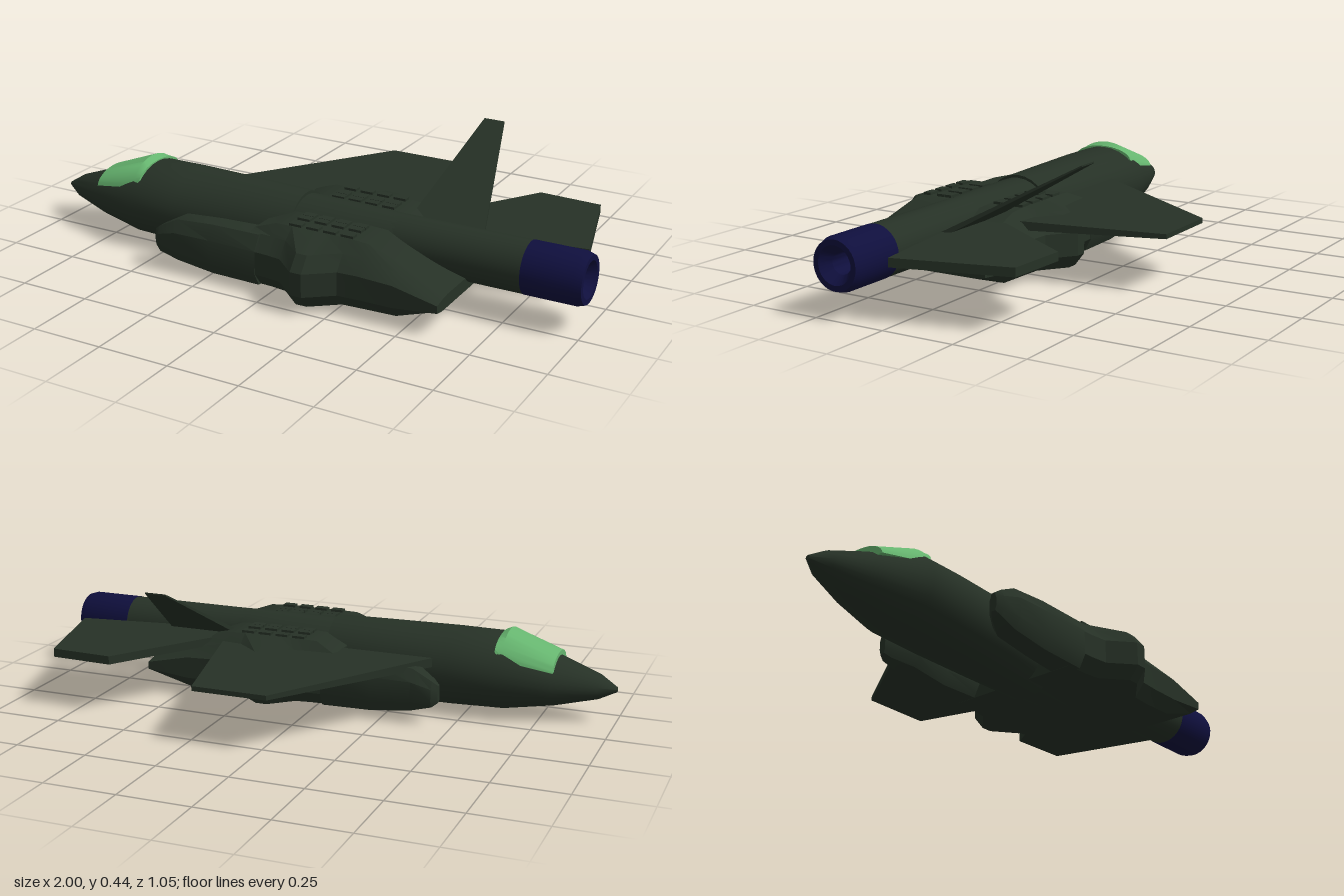
import * as THREE from 'three';
import { toCreasedNormals } from 'three/addons/utils/BufferGeometryUtils.js';

const AXIS = 0.173; // z of the fuselage centre line

// Skin a row of closed cross-sections running along +x, with both ends capped.
function loft(rings, crease = 0.6) {
  const n = rings[0].length, pos = [], idx = [];
  rings.forEach(r => r.forEach(p => pos.push(...p)));
  for (let i = 0; i < rings.length - 1; i++) {
    for (let j = 0; j < n; j++) {
      const a = i * n + j, b = i * n + (j + 1) % n;
      idx.push(a, b, b + n, a, b + n, a + n);
    }
  }
  [0, rings.length - 1].forEach((i, end) => {
    const c = pos.length / 3;
    const mid = [0, 1, 2].map(k => rings[i].reduce((s, p) => s + p[k], 0) / n);
    pos.push(...mid);
    for (let j = 0; j < n; j++) {
      const a = i * n + j, b = i * n + (j + 1) % n;
      if (end) idx.push(c, a, b); else idx.push(c, b, a);
    }
  });
  const g = new THREE.BufferGeometry();
  g.setAttribute('position', new THREE.Float32BufferAttribute(pos, 3));
  g.setIndex(idx);
  return toCreasedNormals(g, crease);
}

// Elliptical section
function oval([x, bottom, top, half], n = 28) {
  return Array.from({ length: n }, (_, j) => {
    const t = j / n * Math.PI * 2;
    return [x, (bottom + top) / 2 + (top - bottom) / 2 * Math.cos(t), AXIS + half * Math.sin(t)];
  });
}

// Symmetric section from [z offset, y] pairs listed from the top down
function mirrored(x, half, centre = AXIS) {
  return [
    ...half.map(([z, y]) => [x, y, centre + z]),
    ...half.slice().reverse().map(([z, y]) => [x, y, centre - z]),
  ];
}

// Flat surface with an [x, z] outline; height and thickness follow z
function panel(outline, height, thick) {
  const shape = new THREE.Shape(outline.map(p => new THREE.Vector2(...p)));
  const g = new THREE.ExtrudeGeometry(shape, { depth: 1, bevelEnabled: false });
  g.translate(0, 0, -0.5).rotateX(Math.PI / 2);
  const p = g.attributes.position;
  for (let i = 0; i < p.count; i++) {
    const z = p.getZ(i);
    p.setY(i, height(z) + Math.sign(p.getY(i)) * thick(z) / 2);
  }
  g.computeVertexNormals();
  return g;
}

export function createModel() {
  const model = new THREE.Group();
  const material = (name, color) => {
    const m = new THREE.MeshStandardMaterial({ color });
    m.name = name;
    return m;
  };
  const green = material('darkGreen', 0x263126);
  const glass = material('canopyGreen', 0x66b56f);
  const blue = material('navyBlue', 0x0f0f3d);
  const add = (name, geometry, mat = green) => {
    const mesh = new THREE.Mesh(geometry, mat);
    mesh.name = name;
    model.add(mesh);
    return mesh;
  };

  // Nose and forward fuselage
  add('forwardFuselage', loft([
    [-1, 0.112, 0.128, 0.008], [-0.94, 0.082, 0.165, 0.05], [-0.8, 0.046, 0.215, 0.105],
    [-0.63, 0.017, 0.278, 0.158], [-0.45, 0.01, 0.28, 0.155], [-0.2, 0.005, 0.277, 0.142],
    [0, 0.003, 0.274, 0.13],
  ].map(s => oval(s))));

  // Centre fuselage fading into the engine tube
  add('centreFuselage', loft([
    [-0.02, 0.012, 0.264, 0.128], [0.2, 0.02, 0.264, 0.12], [0.36, 0.06, 0.262, 0.092],
  ].map(s => oval(s))));

  // Canopy shell
  const canopyRing = (x, base, top, half) => mirrored(x, Array.from({ length: 9 }, (_, i) => {
    const t = (i + 0.5) / 9 * Math.PI / 2;
    return [half * Math.sin(t), base + (top - base) * Math.cos(t)];
  }));
  add('canopy', loft([
    canopyRing(-0.8, 0.178, 0.23, 0.104),
    canopyRing(-0.63, 0.205, 0.295, 0.124),
    canopyRing(-0.605, 0.235, 0.282, 0.118),
  ]), glass);

  // Wide centre body with a bulge on each flank: [x, half width, bottom, low, high, shoulder, top]
  add('centreBody', loft([
    [-0.08, 0.27, 0.025, 0.07, 0.15, 0.2, 0.205],
    [0.0, 0.274, 0.025, 0.07, 0.15, 0.2, 0.234],
    [0.06, 0.282, 0.025, 0.07, 0.15, 0.2, 0.235],
    [0.14, 0.352, 0.025, 0.07, 0.15, 0.2, 0.235],
    [0.18, 0.352, 0.025, 0.07, 0.15, 0.2, 0.235],
    [0.27, 0.282, 0.025, 0.07, 0.15, 0.2, 0.235],
    [0.34, 0.278, 0.025, 0.07, 0.15, 0.198, 0.23],
    [0.46, 0.278, 0.028, 0.07, 0.145, 0.172, 0.185],
    [0.615, 0.275, 0.078, 0.085, 0.11, 0.118, 0.122],
  ].map(([x, w, bottom, low, high, shoulder, top]) => mirrored(x, [
    [0.2, top], [w - 0.04, shoulder], [w, high], [w, low], [w - 0.035, bottom],
  ])), 0.5));

  // Intake nacelles either side of the fuselage: [x, centre offset, half width, bottom, top]
  for (const side of [1, -1]) {
    add(side > 0 ? 'nearIntake' : 'farIntake', loft([
      [-0.45, 0.235, 0.012, 0.08, 0.14], [-0.43, 0.232, 0.03, 0.065, 0.155],
      [-0.36, 0.212, 0.056, 0.045, 0.19], [-0.22, 0.212, 0.058, 0.028, 0.2],
      [-0.04, 0.205, 0.068, 0.025, 0.2],
    ].map(([x, off, w, b, t]) => mirrored(x, [
      [w * 0.55, t], [w, t - (t - b) * 0.28], [w, b + (t - b) * 0.25], [w * 0.65, b],
    ], AXIS + side * off)), 0.5));
  }

  // Engine tube and nozzle, turned around the x axis
  const lathe = pts => {
    const g = new THREE.LatheGeometry(pts.map(p => new THREE.Vector2(...p)), 32);
    return toCreasedNormals(g.rotateZ(-Math.PI / 2).translate(0, 0.175, AXIS), 0.6);
  };
  add('engineTube', lathe([[0, 0.1], [0.087, 0.1], [0.087, 0.805], [0, 0.805]]));
  add('nozzle', lathe([
    [0.08, 0.8], [0.088, 0.802], [0.088, 0.975], [0.08, 1], [0.062, 1], [0.036, 0.965], [0.036, 0.86],
  ]), blue);
  add('nozzleCore', lathe([[0.036, 0.88], [0, 0.88]]));

  // Main wing, tailplane and canted fin
  add('wing', panel([[-0.4, 0.02], [-0.03, -0.53], [0.23, -0.53], [0.36, 0.02]],
    () => 0.19, z => 0.032 + 0.03 * Math.min(0, z)));
  add('tailplane', panel(
    [[0.33, 0.1], [0.37, 0], [0.52, -0.22], [0.62, -0.37], [0.84, -0.36], [0.94, 0.02], [0.6, 0.07], [0.56, 0.1]],
    () => 0.192, () => 0.029));
  add('fin', panel([[0.33, 0.07], [0.4, -0.365], [0.475, -0.365], [0.6, 0.07]],
    z => 0.21 + (0.05 - z) * 0.555, z => 0.018 + 0.03 * (z - 0.07)));

  // Rows of raised vents on the centre body
  const vent = new THREE.BoxGeometry(0.045, 0.014, 0.028);
  for (const offset of [0.1, 0.13, 0.185]) {
    for (const side of [1, -1]) {
      for (let i = 0; i < 4; i++) {
        add('vent', vent).position.set(0.07 + i * 0.063, 0.236, AXIS + side * offset);
      }
    }
  }

  return model;
}
